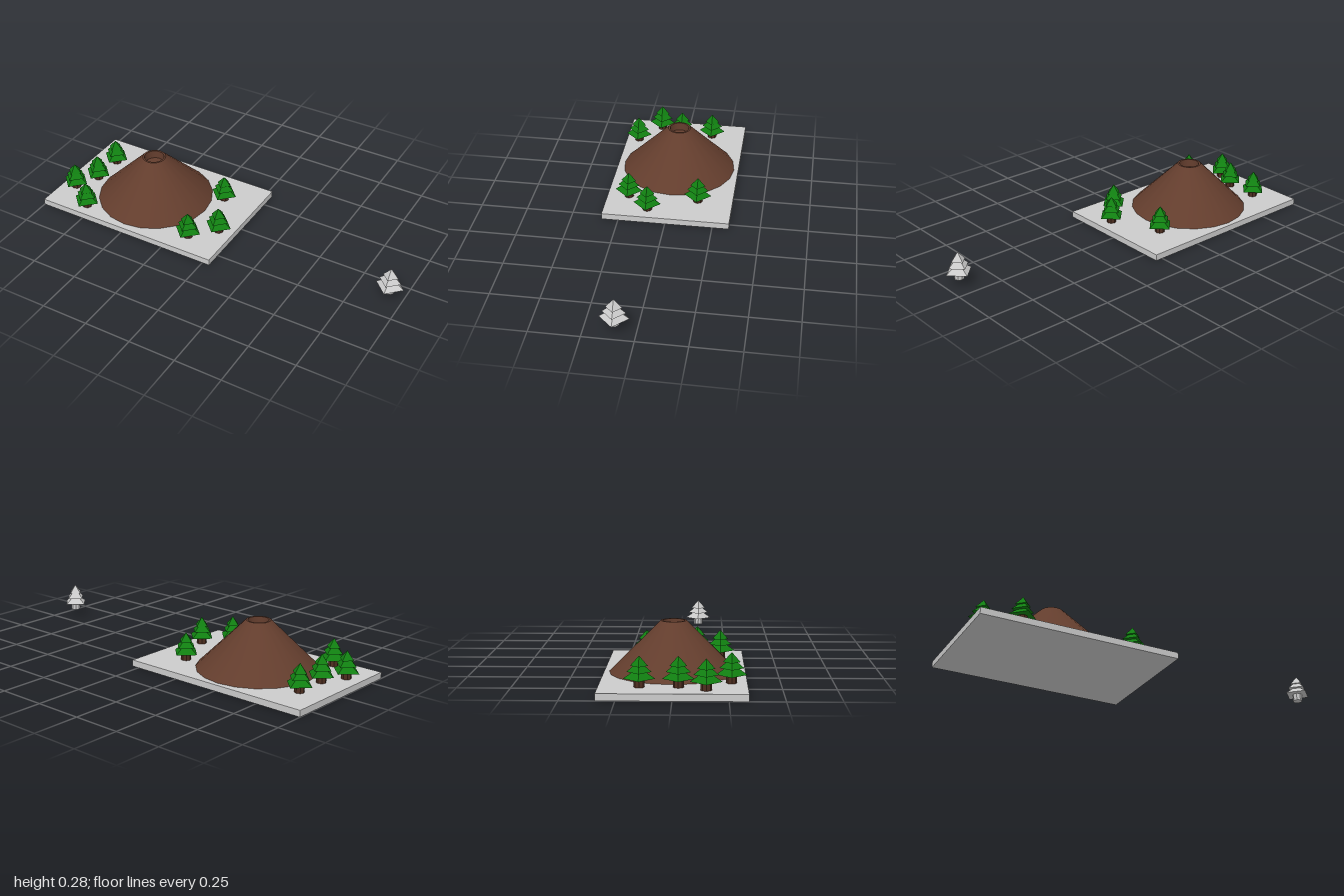
import * as THREE from 'three';

const GROUND = 0.033;

const mat = (color, extra = {}) => new THREE.MeshStandardMaterial({ color, ...extra });

function addMesh(parent, name, geometry, material, x = 0, y = 0, z = 0) {
  const mesh = new THREE.Mesh(geometry, material);
  mesh.name = name;
  mesh.position.set(x, y, z);
  parent.add(mesh);
  return mesh;
}

// Four-sided tiered conifer on a short eight-sided trunk
function makeTree(name, trunkMat, leafMat) {
  const tree = new THREE.Group();
  tree.name = name;
  addMesh(tree, 'trunk', new THREE.CylinderGeometry(0.025, 0.025, 0.04, 8), trunkMat, 0, 0.02, 0);
  const tiers = [[0.073, 0.038, 0.052], [0.057, 0.069, 0.05], [0.04, 0.097, 0.046]];
  tiers.forEach(([radius, base, height], i) => {
    addMesh(tree, `foliageTier${i + 1}`, new THREE.ConeGeometry(radius, height, 4), leafMat, 0, base + height / 2, 0);
  });
  return tree;
}

export function createModel() {
  const model = new THREE.Group();
  model.name = 'volcanoDiorama';

  const grey = mat(0xcccccc, { flatShading: true });
  const green = mat(0x118011, { flatShading: true });
  const bark = mat(0x4e2e20, { flatShading: true });
  const earth = mat(0x633d2d, { side: THREE.DoubleSide });

  // Ground slab
  addMesh(model, 'base', new THREE.BoxGeometry(1.04, GROUND, 0.676), grey, -0.48, GROUND / 2, 0);

  // Mountain: smooth slope, narrow rim, crater wall and floor
  const mountain = new THREE.Group();
  mountain.name = 'mountain';
  mountain.position.set(-0.5, GROUND, -0.005);
  model.add(mountain);
  const lathe = (name, pts) => addMesh(mountain, name,
    new THREE.LatheGeometry(pts.map(([r, y]) => new THREE.Vector2(r, y)), 20), earth);
  lathe('slope', [[0.309, 0], [0.062, 0.247]]);
  lathe('rim', [[0.062, 0.247], [0.052, 0.247]]);
  lathe('craterWall', [[0.052, 0.247], [0.05, 0.205]]);
  lathe('craterFloor', [[0.05, 0.205], [0, 0.205]]);

  // Green trees around the mountain, as x and z
  const spots = [
    [-0.86, -0.151], [-0.86, 0.025], [-0.92, 0.15], [-0.765, 0.266],
    [-0.155, -0.151], [-0.155, 0.222], [-0.04, 0.105],
  ];
  spots.forEach(([x, z], i) => {
    const tree = makeTree(`tree${i + 1}`, bark, green);
    tree.position.set(x, GROUND, z);
    model.add(tree);
  });

  // Lone grey tree standing apart from the slab
  const loneTree = makeTree('loneTree', grey, grey);
  loneTree.position.set(0.927, GROUND, 0.105);
  model.add(loneTree);

  return model;
}
